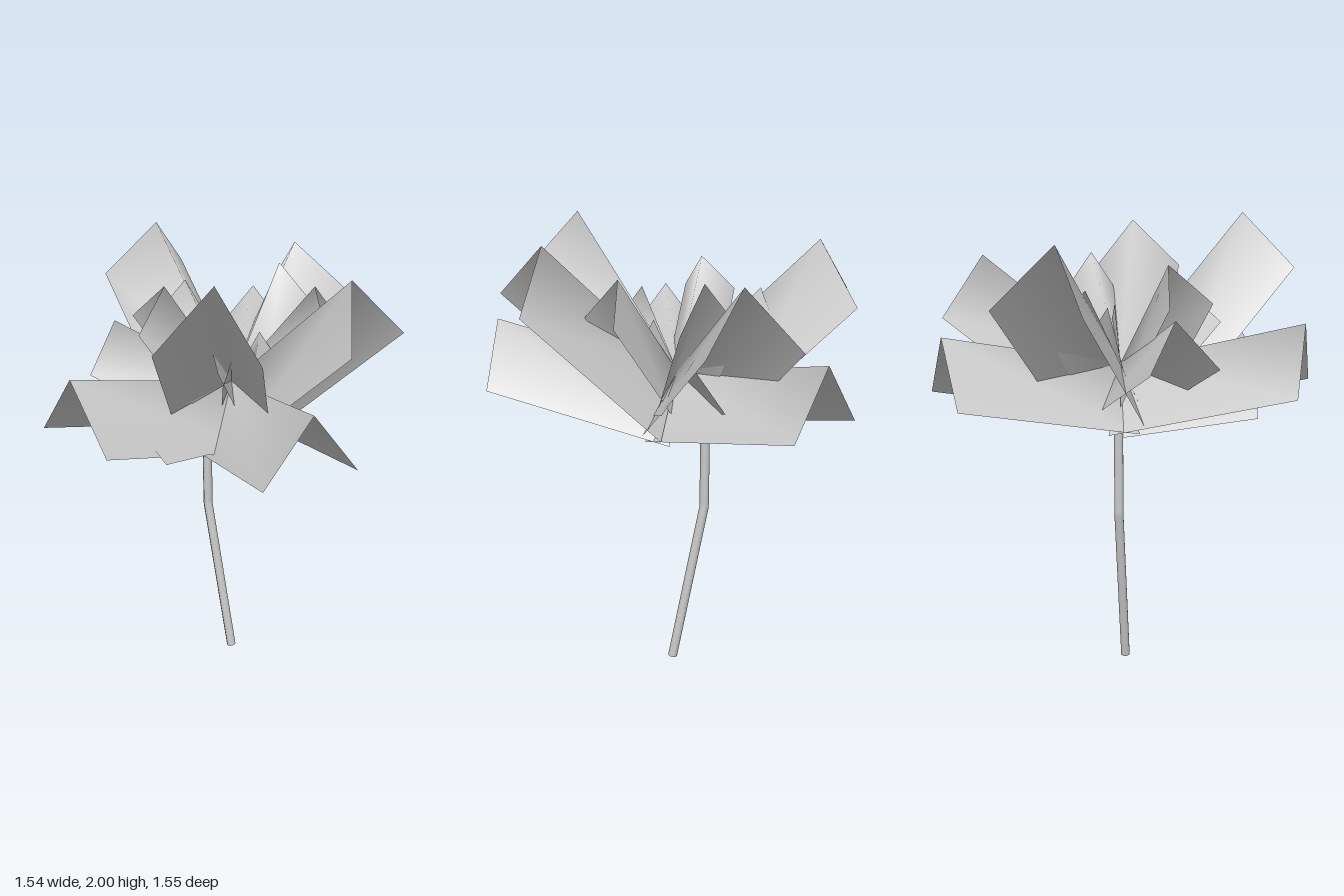
import * as THREE from 'three';

const material = new THREE.MeshStandardMaterial({ color: 0xcccccc, side: THREE.DoubleSide });

// Common point where the petal folds meet
const heart = [0.05, 1.38, -0.04];

// A petal is a folded strip: the tip section (edge, fold, edge) swept back to its root
function petal(name, [edgeA, fold, edgeB], root = heart) {
  const tip = [edgeA, fold, edgeB];
  const base = tip.map(p => p.map((v, i) => v - fold[i] + root[i]));
  const geometry = new THREE.BufferGeometry();
  geometry.setAttribute('position', new THREE.Float32BufferAttribute([...base, ...tip].flat(), 3));
  geometry.setIndex([0, 3, 1, 1, 3, 4, 1, 4, 2, 2, 4, 5]);
  geometry.computeVertexNormals();
  const mesh = new THREE.Mesh(geometry, material);
  mesh.name = name;
  return mesh;
}

// Tip sections of the petals in each ring: edge, fold, edge
const rings = {
  lowerPetal: [
    [[0.735, 1.285, -0.46], [0.588, 1.55, -0.598], [0.44, 1.285, -0.735]],
    [[-0.775, 1.33, -0.195], [-0.745, 1.6, 0], [-0.715, 1.33, 0.2]],
    [[-0.345, 1.29, 0.695], [-0.148, 1.565, 0.738], [0.05, 1.295, 0.775]],
  ],
  upperPetal: [
    [[-0.125, 1.7, -0.775], [0.06, 1.94, -0.622], [0.275, 1.7, -0.75]],
    [[0.64, 1.61, -0.5], [0.573, 1.845, -0.275], [0.77, 1.62, -0.125]],
    [[0.447, 1.7, 0.572], [0.22, 1.94, 0.5], [0.063, 1.72, 0.692]],
    [[-0.3, 1.75, 0.625], [-0.345, 2.0, 0.392], [-0.595, 1.777, 0.355]],
  ],
  middlePetal: [
    [[-0.49, 1.45, -0.305], [-0.325, 1.64, -0.365], [-0.285, 1.45, -0.53]],
    [[-0.085, 1.56, -0.46], [0.05, 1.74, -0.385], [0.185, 1.56, -0.45]],
    [[0.46, 1.32, -0.22], [0.42, 1.5, -0.09], [0.48, 1.32, 0.03]],
  ],
  innerPetal: [
    [[0.425, 1.66, -0.265], [0.377, 1.82, -0.137], [0.49, 1.64, -0.04]],
    [[-0.38, 1.67, -0.085], [-0.21, 1.825, -0.15], [-0.275, 1.67, -0.3]],
    [[0.25, 1.66, 0.335], [0.295, 1.82, 0.2], [0.425, 1.65, 0.215]],
    [[-0.2, 1.56, 0.21], [-0.18, 1.7, 0.11], [-0.345, 1.56, 0.125]],
  ],
  centrePetal: [
    [[-0.15, 1.47, 0.17], [-0.07, 1.57, 0.13], [-0.045, 1.46, 0.2]],
    [[0.11, 1.5, 0.05], [0.12, 1.62, 0.06], [0.17, 1.5, 0.13]],
    [[0.0, 1.52, -0.2], [0.05, 1.64, -0.17], [0.12, 1.52, -0.2]],
  ],
};

export function createModel() {
  const flower = new THREE.Group();
  flower.name = 'flower';

  // Stem: straight runs with a kink, leaning forward into the petals
  const points = [
    [0.038, 0, -0.022], [0.006, 0.74, -0.163], [0.006, 1.12, -0.163],
    [0.02, 1.19, -0.14], [0.05, 1.27, -0.07],
  ].map(p => new THREE.Vector3(...p));
  const path = new THREE.CurvePath();
  for (let i = 1; i < points.length; i++) path.add(new THREE.LineCurve3(points[i - 1], points[i]));
  const stem = new THREE.Mesh(new THREE.TubeGeometry(path, 60, 0.021, 8), material);
  stem.name = 'stem';
  flower.add(stem);

  // Cap closing the foot of the stem
  const foot = new THREE.Mesh(new THREE.CircleGeometry(0.021, 8), material);
  foot.name = 'stemFoot';
  foot.position.copy(points[0]);
  foot.lookAt(points[0].clone().multiplyScalar(2).sub(points[1]));
  flower.add(foot);

  // Petal rings
  for (const [name, sections] of Object.entries(rings)) {
    const ring = new THREE.Group();
    ring.name = name + 'Ring';
    sections.forEach((section, i) => ring.add(petal(name + (i + 1), section)));
    flower.add(ring);
  }

  // Small drooping petal below the left of the bloom
  flower.add(petal('droopingPetal',
    [[-0.573, 1.2, -0.05], [-0.525, 1.4, 0.075], [-0.46, 1.24, 0.22]], [0.07, 1.28, -0.05]));

  return flower;
}
